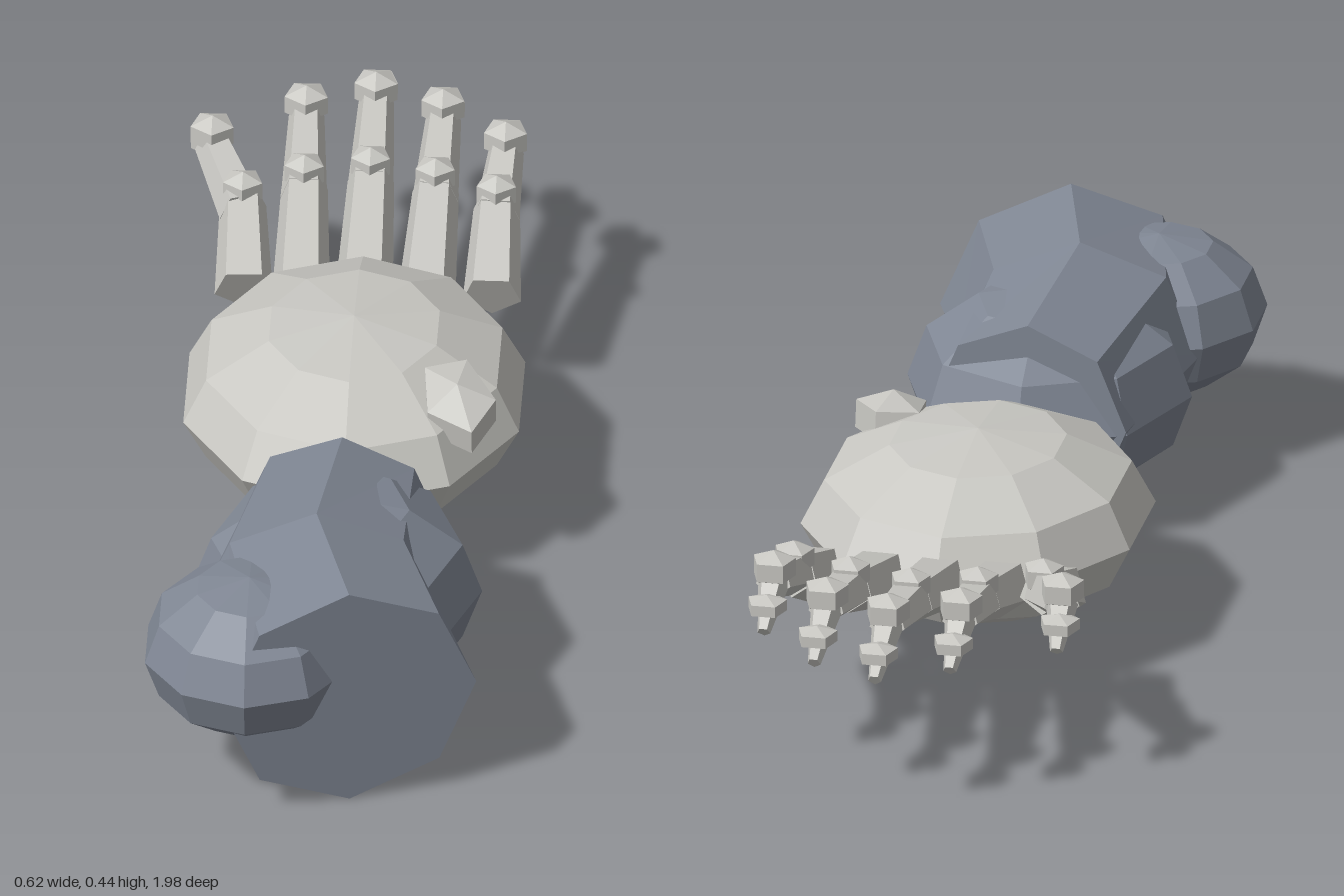
import * as THREE from 'three';

export function createModel() {
  const model = new THREE.Group();
  const shell = new THREE.MeshStandardMaterial({ color: 0xc9c8c3, flatShading: true });
  shell.name = 'pale grey shell';
  const slate = new THREE.MeshStandardMaterial({ color: 0x808794, flatShading: true });
  slate.name = 'slate sleeve';

  function add(name, geometry, material, parent = model) {
    const mesh = new THREE.Mesh(geometry, material);
    mesh.name = name;
    parent.add(mesh);
    return mesh;
  }

  // Faceted ellipsoid; turn spins the facets before scaling
  function blob(name, material, pos, radii, sides, rings, turn = 0, parent = model) {
    const g = new THREE.SphereGeometry(1, sides, rings);
    g.rotateY(turn);
    g.scale(...radii);
    const mesh = add(name, g, material, parent);
    mesh.position.set(...pos);
    return mesh;
  }

  // Tapered five-sided rod from a to b
  function rod(name, a, b, ra, rb, parent) {
    const from = new THREE.Vector3(...a), to = new THREE.Vector3(...b);
    const g = new THREE.CylinderGeometry(rb, ra, from.distanceTo(to), 5);
    g.rotateX(Math.PI / 2);
    const mesh = add(name, g, shell, parent);
    mesh.position.copy(from).lerp(to, 0.5);
    mesh.lookAt(to);
  }

  // Closed loft through octagonal rings; skew shears the ring along z
  function loft(rings, sides) {
    const pos = [], index = [];
    for (const { c, rx, ry, skew, tilt } of rings)
      for (let i = 0; i < sides; i++) {
        const a = i / sides * Math.PI * 2;
        const dx = Math.cos(a) * rx, dy = Math.sin(a) * ry;
        pos.push(c[0] + dx, c[1] + dy, c[2] + dx * skew + dy * tilt);
      }
    for (let r = 0; r < rings.length - 1; r++)
      for (let i = 0; i < sides; i++) {
        const a = r * sides + i, b = r * sides + (i + 1) % sides;
        index.push(a, a + sides, b, b, a + sides, b + sides);
      }
    const last = (rings.length - 1) * sides;
    for (let i = 1; i < sides - 1; i++) {
      index.push(0, i, i + 1, last, last + i + 1, last + i);
    }
    const g = new THREE.BufferGeometry();
    g.setAttribute('position', new THREE.Float32BufferAttribute(pos, 3));
    g.setIndex(index);
    const flat = g.toNonIndexed();
    flat.computeVertexNormals();
    return flat;
  }

  // Arm: bent sleeve, wrist bulge and side bulge
  add('forearm', loft([
    { c: [0.05, 0.218, 0.886], rx: 0.22, ry: 0.218, skew: -0.28, tilt: 0.04 },
    { c: [-0.02, 0.236, 0.635], rx: 0.215, ry: 0.201, skew: -0.08, tilt: 0 },
    { c: [0.01, 0.22, 0.33], rx: 0.18, ry: 0.18, skew: 0.1, tilt: 0 },
  ], 8), slate);
  blob('wristBulge', slate, [0.01, 0.21, 0.52], [0.255, 0.19, 0.28], 8, 6);
  blob('sideBulge', slate, [-0.13, 0.255, 0.79], [0.19, 0.145, 0.2], 10, 6, Math.PI / 2);

  // Palm and thumb stub
  blob('palm', shell, [0.01, 0.22, -0.095], [0.31, 0.16, 0.365], 10, 6, Math.PI / 2);
  const thumb = blob('thumbStub', shell, [0.2, 0.313, 0.08], [0.075, 0.05, 0.115], 5, 3, Math.PI / 2);
  thumb.rotation.set(0.2, 0.3, 0);

  // Fingers: base x, knuckle [x, z], joint [x, z], tip [x, z]
  const fingers = [
    [-0.2, [-0.21, -0.59], [-0.27, -0.72], [-0.275, -0.765]],
    [-0.1, [-0.105, -0.65], [-0.11, -0.825], [-0.11, -0.89]],
    [0.01, [0.01, -0.68], [0.01, -0.875], [0.01, -0.96]],
    [0.12, [0.125, -0.65], [0.13, -0.825], [0.13, -0.905]],
    [0.235, [0.235, -0.6], [0.245, -0.725], [0.245, -0.785]],
  ];
  for (const [x, k, j, t] of fingers) {
    const finger = new THREE.Group();
    finger.name = 'finger';
    model.add(finger);
    rod('lowerBone', [x, 0.22, -0.42], [k[0], 0.292, k[1]], 0.054, 0.043, finger);
    rod('upperBone', [k[0], 0.288, k[1] + 0.02], [j[0], 0.33, j[1]], 0.043, 0.033, finger);
    rod('claw', [j[0], 0.33, j[1]], [t[0], 0.265, t[1] - 0.025], 0.03, 0.012, finger);
    const up = Math.PI / 2; // pentagon point faces the fingertip
    blob('knuckle', shell, [k[0], 0.322, k[1]], [0.042, 0.032, 0.042], 5, 3, up, finger);
    blob('joint', shell, [j[0], 0.353, j[1]], [0.046, 0.033, 0.046], 5, 3, up, finger);
    blob('tipNode', shell, [t[0], 0.305, t[1]], [0.042, 0.02, 0.042], 5, 3, up, finger);
  }
  return model;
}
